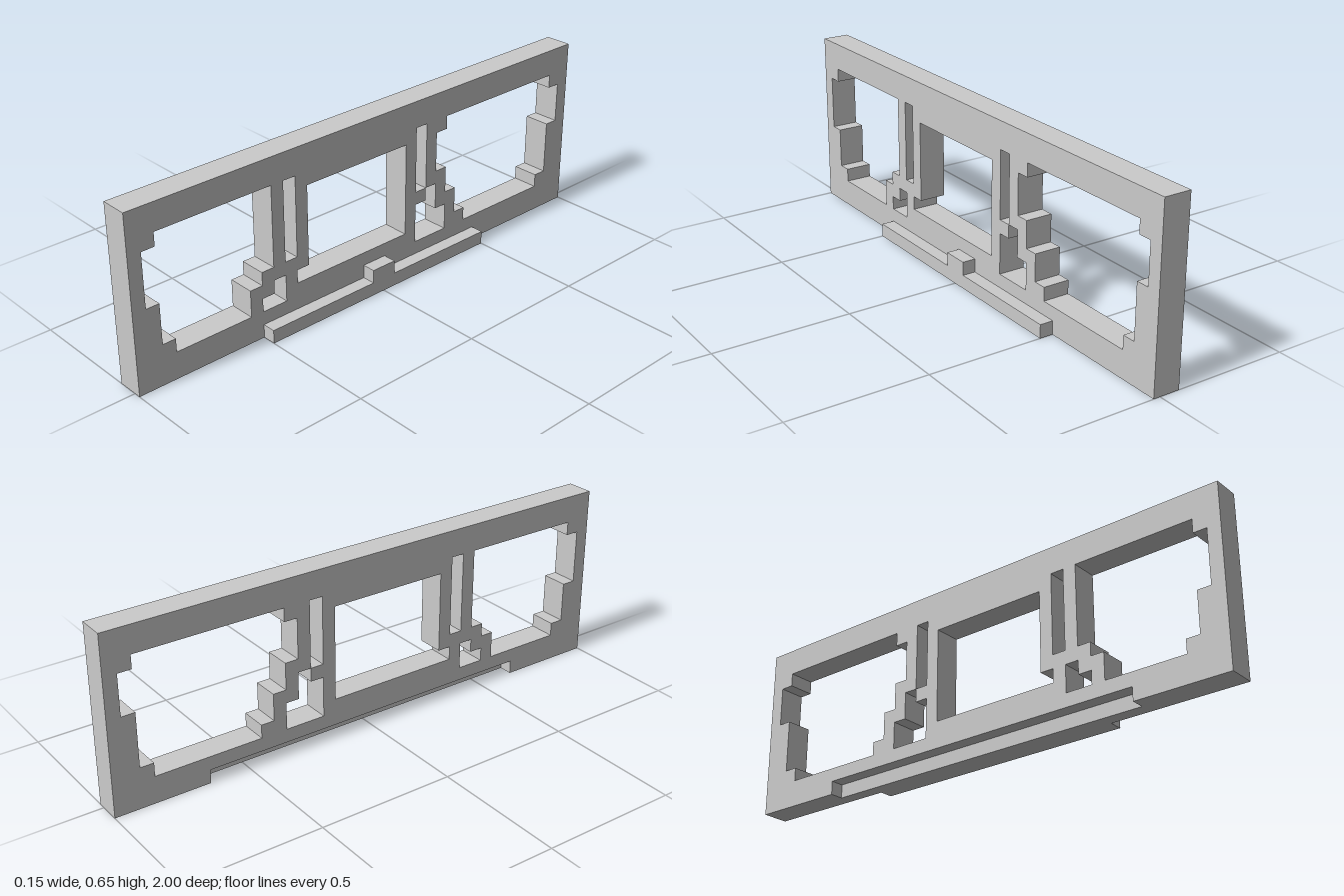
import * as THREE from 'three';

const material = new THREE.MeshStandardMaterial({ color: 0xcccccc, flatShading: true });

// Openings in the panel as [z, y] corners, on a 0.05 unit grid
const OPENINGS = [
  // front window
  [[18, 11], [9, 11], [9, 5], [10, 5], [10, 4], [11, 4], [11, 2], [17, 2], [17, 3],
    [18, 3], [18, 6], [19, 6], [19, 10], [18, 10]],
  // front lower gap and slot
  [[10, 2], [8, 2], [8, 4], [9, 4], [9, 3], [10, 3]],
  [[8, 5], [7, 5], [7, 11], [8, 11]],
  // middle window
  [[6, 10], [6, 4], [7, 4], [7, 3], [-3, 3], [-3, 10]],
  // rear slot, opening into the rear lower gap
  [[-4, 2], [-7, 2], [-7, 4], [-6, 4], [-6, 6], [-5, 6], [-5, 11], [-4, 11]],
  // rear window
  [[-7, 11], [-7, 10], [-6, 10], [-6, 7], [-7, 7], [-7, 5], [-8, 5], [-8, 3], [-9, 3],
    [-9, 2], [-17, 2], [-17, 3], [-18, 3], [-18, 7], [-19, 7], [-19, 10], [-18, 10], [-18, 11]],
];

const U = 0.05;
const toPoints = (corners) => corners.map(([z, y]) => new THREE.Vector2(z * U, y * U));

// Extrudes a side profile along x, from xMin to xMax
function slab(name, outline, holes, xMin, xMax) {
  const shape = new THREE.Shape(toPoints(outline));
  shape.holes = holes.map((h) => new THREE.Path(toPoints(h)));
  const geometry = new THREE.ExtrudeGeometry(shape, { depth: xMax - xMin, bevelEnabled: false });
  geometry.rotateY(-Math.PI / 2).translate(xMax, 0, 0);
  const mesh = new THREE.Mesh(geometry, material);
  mesh.name = name;
  return mesh;
}

export function createModel() {
  const group = new THREE.Group();
  group.name = 'windowPanel';

  // Outer layer, full rectangle
  group.add(slab('outerLayer', [[-20, 0], [20, 0], [20, 13], [-20, 13]], OPENINGS, -0.025, 0.025));

  // Inner layer, with a shallow recess along the bottom edge
  group.add(slab('innerLayer',
    [[-20, 0], [-13, 0], [-13, 1], [13, 1], [13, 0], [20, 0], [20, 13], [-20, 13]],
    OPENINGS, -0.075, -0.025));

  // Small bridge between the rear slot and the gap below it
  const bridge = new THREE.Mesh(new THREE.BoxGeometry(0.1, U, U), material);
  bridge.name = 'slotBridge';
  bridge.position.set(-0.025, 0.275, -0.225);
  group.add(bridge);

  // Step ledge with a raised block in the middle
  group.add(slab('ledge',
    [[-10, 0], [10, 0], [10, 1], [1, 1], [1, 2], [-1, 2], [-1, 1], [-10, 1]],
    [], 0.025, 0.075));

  return group;
}
